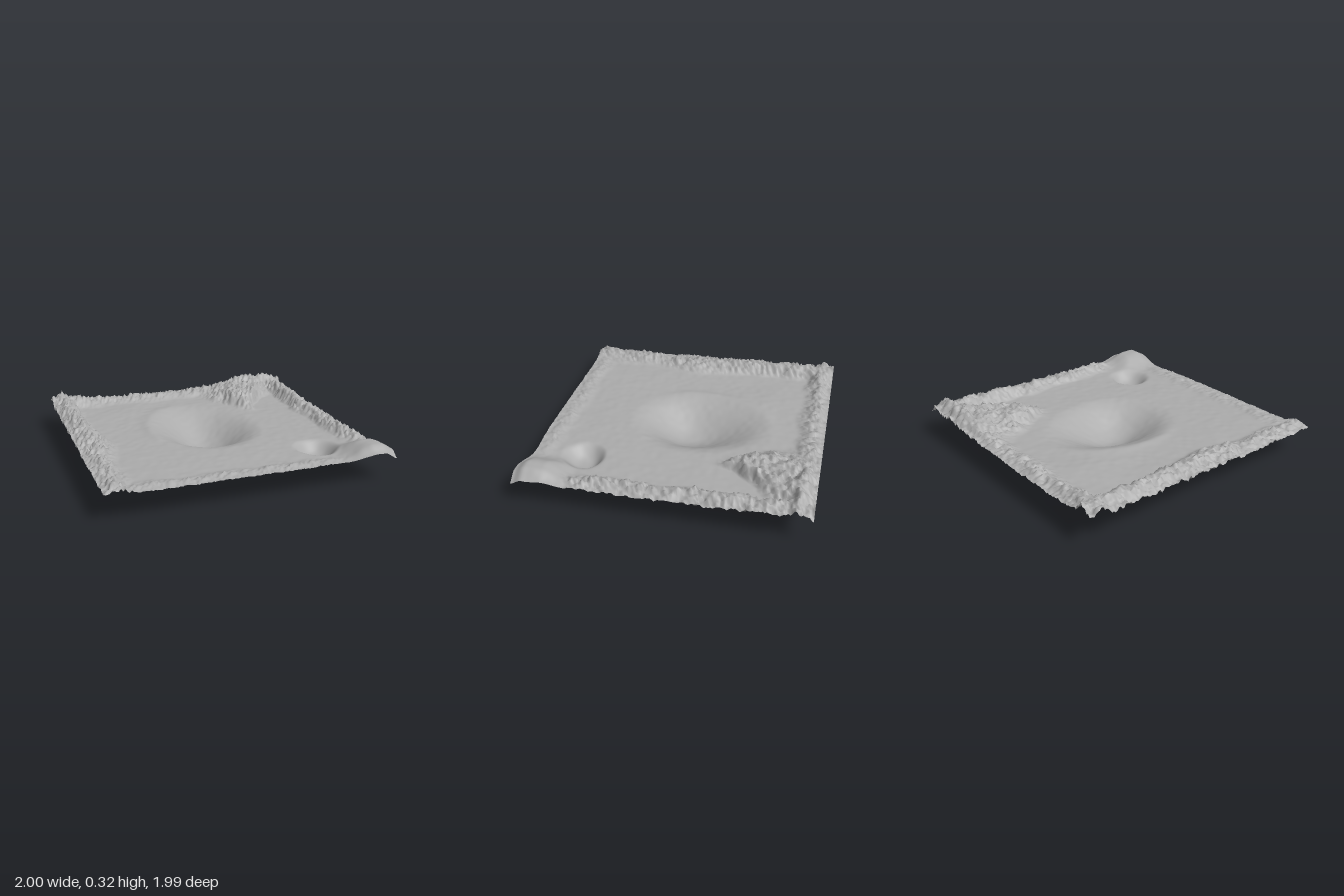
import * as THREE from 'three';

const N = 150; // grid cells per side
const PLAIN = 0.181;

// smooth step from 0 at a to 1 at b; a may be larger than b
function smooth(a, b, v) {
  const t = Math.min(1, Math.max(0, (v - a) / (b - a)));
  return t * t * (3 - 2 * t);
}
const bump = (v, c, w) => Math.exp(-(((v - c) / w) ** 2));

// repeatable hash noise, 0..1
function hash(i, j) {
  let h = (Math.imul(i + 101, 374761393) + Math.imul(j + 57, 668265263)) | 0;
  h = Math.imul(h ^ (h >>> 13), 1274126177);
  return ((h ^ (h >>> 16)) >>> 0) / 4294967296;
}

// smoothly interpolated lattice noise, -1..1
function noise(x, y) {
  const i = Math.floor(x), j = Math.floor(y);
  const u = smooth(0, 1, x - i), v = smooth(0, 1, y - j);
  const lerp = THREE.MathUtils.lerp;
  return 2 * lerp(lerp(hash(i, j), hash(i + 1, j), u), lerp(hash(i, j + 1), hash(i + 1, j + 1), u), v) - 1;
}

// round bowl, 1 in the middle and 0 at the rim
const bowl = (r) => (r < 1 ? 0.5 + 0.5 * Math.cos(Math.PI * r) : 0);

// ridge across a border strip: zero inside, crest near the middle, falling to the outer edge
const ridge = (d, width) => smooth(width, width * 0.45, d) * (0.4 + 0.6 * smooth(0, width * 0.45, d));

function height(x, z, i, j) {
  // rocky borders
  const wobble = 0.03 * noise(x * 9 + 3, z * 9 + 9);
  const left = ridge(x + 1, 0.22 + 0.06 * bump(z, 0.08, 0.2) + wobble) * (0.045 + 0.04 * smooth(0.6, -0.8, z));
  const back = ridge(z + 1, 0.21 + wobble) * (0.035 + 0.05 * bump(x, -0.9, 0.2) + 0.085 * bump(x, 0.72, 0.3));
  const right = ridge(0.98 - x, 0.19 + wobble) * (0.045 + 0.035 * smooth(0.2, -0.8, z)) * smooth(0.72, 0.5, z);
  const front = ridge(0.98 - z, 0.18 + wobble) * 0.016 * smooth(0.75, 0.4, x);

  // spur running forward from the back border, gentle on its left and steep on its right
  const t = smooth(-0.95, -0.3, z);
  const side = x - 0.53 + 0.08 * t + wobble;
  const spurHalf = 0.35 * (1 - t) + 0.07;
  const spur = smooth(spurHalf, spurHalf * (side < 0 ? 0 : 0.5), Math.abs(side)) *
    smooth(-0.28, -0.5, z) * smooth(-1, -0.85, z) * 0.085;

  // fine jagged rock where the ground rises
  const rock = Math.max(left, back, right, front, spur);
  const rough = Math.min(1, rock / 0.035);
  const jag = 0.034 * (hash(i, j >> 1) - 0.45) + 0.016 * (hash((i + j) >> 1, j + 400) - 0.5);
  let y = PLAIN + rock + rough * (jag + 0.012 * noise(x * 18, z * 18));

  // gentle unevenness of the plain and a low swell behind the crater
  y += 0.0018 * noise(x * 24, z * 24) + 0.003 * noise(x * 5, z * 5);
  y += 0.01 * bump(x, -0.42, 0.18) * bump(z, -0.55, 0.25);

  // large crater, longer towards the back
  const cz = z + 0.02;
  const r = Math.hypot((x + 0.01) / 0.42, cz / (cz > 0 ? 0.47 : 0.6));
  y -= 0.178 * bowl(r);
  y += 0.01 * bump(r, 0.98, 0.12) * smooth(0.1, -0.25, x) * smooth(0.3, 0, z);

  // small crater with a flat floor and a steep back wall
  const sz = z - 0.6;
  y -= 0.085 * bowl(Math.hypot((x - 0.58) / 0.17, sz / (sz > 0 ? 0.19 : 0.14)) ** 1.6);

  // smooth mound in the corner, dropping at its outer edges
  const mound = smooth(0.62, 0.85, x) * smooth(0.6, 0.8, z);
  const drop = smooth(0.89, 0.98, x) * 0.045 + smooth(0.9, 0.98, z) * 0.04;
  y += mound * (0.08 - drop + 0.005 * noise(x * 8, z * 8));
  return Math.max(0, y);
}

export function createModel() {
  const group = new THREE.Group();

  const geometry = new THREE.PlaneGeometry(1.98, 1.98, N, N);
  geometry.rotateX(-Math.PI / 2);
  geometry.translate(-0.01, 0, -0.01);
  const p = geometry.attributes.position;
  for (let k = 0; k < p.count; k++) {
    const i = k % (N + 1), j = Math.floor(k / (N + 1));
    const x = p.getX(k), z = p.getZ(k);
    // the mound corner bulges slightly past the square
    const bx = 0.02 * smooth(0.8, 0.98, x) * bump(z, 0.88, 0.13);
    const bz = 0.015 * smooth(0.8, 0.98, z) * bump(x, 0.88, 0.15) -
      0.015 * smooth(0.85, 0.98, z) * bump(x, 0.58, 0.16);
    p.setXYZ(k, x + bx, height(x, z, i, j), z + bz);
  }
  geometry.computeVertexNormals();

  const terrain = new THREE.Mesh(
    geometry,
    new THREE.MeshStandardMaterial({ color: 0xacacac, side: THREE.DoubleSide })
  );
  terrain.name = 'crateredTerrain';
  group.add(terrain);
  return group;
}
